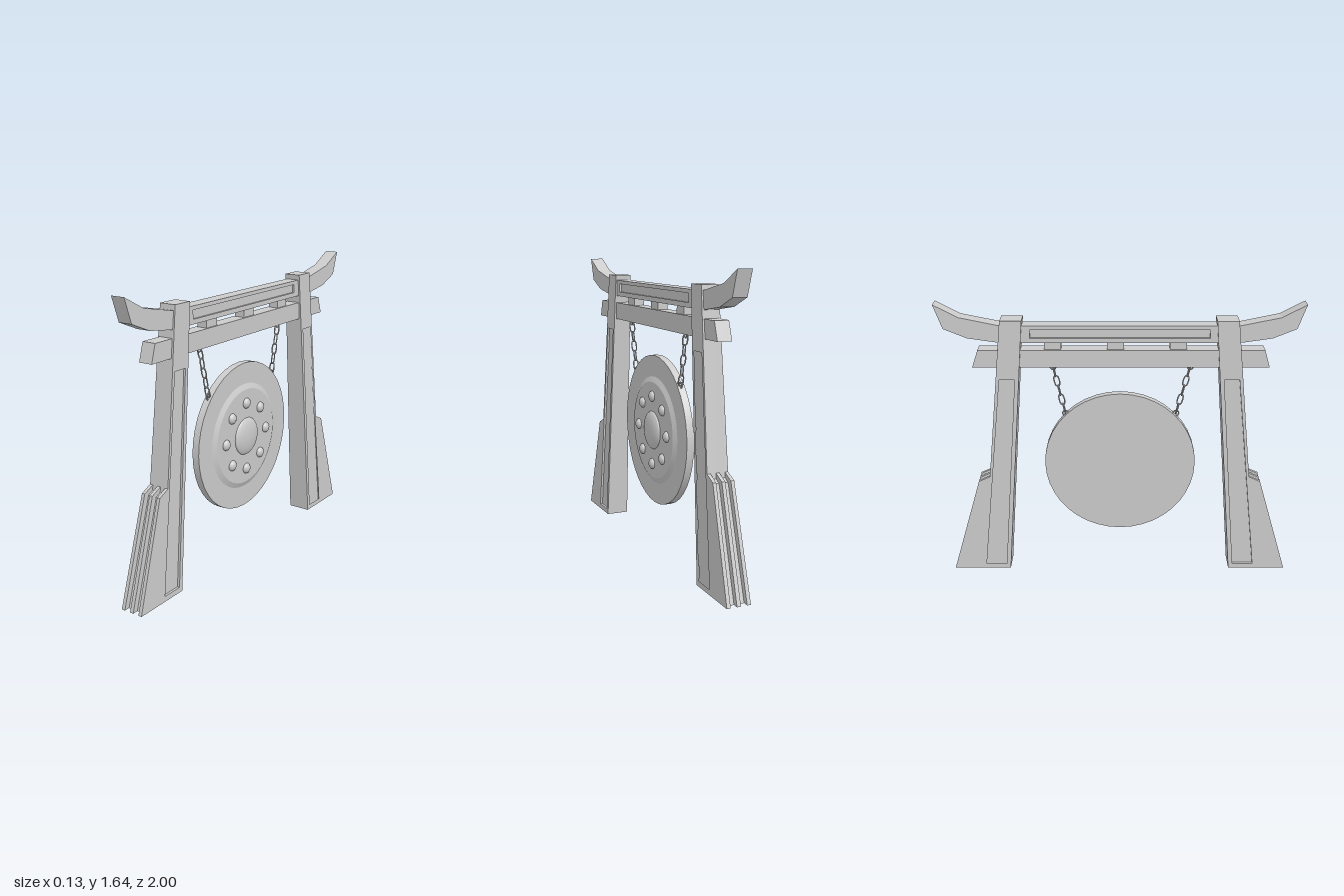
import * as THREE from 'three';
import { toCreasedNormals } from 'three/addons/utils/BufferGeometryUtils.js';

const material = new THREE.MeshStandardMaterial({ color: 0xcccccc });

function add(parent, name, geometry) {
  const mesh = new THREE.Mesh(geometry, material);
  mesh.name = name;
  parent.add(mesh);
  return mesh;
}

// Side outline of [z, y] points, extruded across x from x0 to x1
function slab(points, x0, x1, hole) {
  const toVectors = (list) => list.map(([z, y]) => new THREE.Vector2(z, y));
  const shape = new THREE.Shape(toVectors(points));
  if (hole) shape.holes.push(new THREE.Path(toVectors(hole)));
  return new THREE.ExtrudeGeometry(shape, { depth: x1 - x0, bevelEnabled: false })
    .rotateY(-Math.PI / 2).translate(x1, 0, 0);
}

// Narrow a geometry in x towards the top of the posts
const HEIGHT = 1.555;
function taper(geometry) {
  const p = geometry.attributes.position;
  for (let i = 0; i < p.count; i++) p.setX(i, p.getX(i) * (1 - 0.28 * p.getY(i) / HEIGHT));
  geometry.computeVertexNormals();
  return geometry;
}

// Solid core with a framed, sunken panel on both faces
function panelled(parent, name, outline, panel, half, depth, finish = (g) => g) {
  add(parent, name + 'Core', finish(slab(outline, -half + depth, half - depth)));
  add(parent, name + 'Frame', finish(slab(outline, half - depth, half, panel)));
  add(parent, name + 'Frame', finish(slab(outline, -half, -half + depth, panel)));
}

function createPost(s) {
  const group = new THREE.Group();
  group.name = s > 0 ? 'frontPost' : 'backPost';
  const side = (list) => list.map(([z, y]) => [s * z, y]);
  const half = 0.067;
  panelled(group, 'post',
    side([[0.66, 0], [0.82, 0], [0.643, HEIGHT], [0.525, HEIGHT]]),
    side([[0.683, 0.03], [0.804, 0.03], [0.662, 1.22], [0.577, 1.22]]), half, 0.014, taper);

  // Buttress: three fins with grooves between them
  const fin = side([[0.82, 0], [0.995, 0], [0.815, 0.59], [0.749, 0.62]]);
  const groove = side([[0.82, 0], [0.963, 0], [0.785, 0.575], [0.752, 0.592]]);
  for (const [a, b] of [[-half, -0.046], [-0.011, 0.011], [0.046, half]]) {
    add(group, 'buttressFin', taper(slab(fin, a, b)));
  }
  for (const [a, b] of [[-0.046, -0.011], [0.011, 0.046]]) {
    add(group, 'buttressGroove', taper(slab(groove, a, b)));
  }
  return group;
}

function createBeams() {
  const group = new THREE.Group();
  group.name = 'beams';
  // Top beam with upswept ends
  const top = [[0.64, 1.525], [0.865, 1.572], [0.998, 1.643]];
  const under = [[0.953, 1.509], [0.826, 1.456], [0.65, 1.43]];
  const half = [...top, ...under];
  const mirrored = half.map(([z, y]) => [-z, y]).reverse();
  panelled(group, 'topBeam', [...half, ...mirrored],
    [[-0.487, 1.456], [0.487, 1.456], [0.487, 1.504], [-0.487, 1.504]], 0.04, 0.012);

  add(group, 'lowerBeam',
    slab([[-0.81, 1.288], [0.82, 1.288], [0.79, 1.388], [-0.775, 1.388]], -0.04, 0.04));
  for (const z of [0.318, -0.025, -0.367]) {
    add(group, 'spacerBlock', new THREE.BoxGeometry(0.06, 0.05, 0.092)).position.set(0, 1.409, z);
  }
  return group;
}

function createGong() {
  const group = new THREE.Group();
  group.name = 'gong';
  group.position.y = 0.692;
  // Flat back, rim, raised plateau and central dome
  const profile = [[0, -0.024], [0.432, -0.024], [0.432, 0.018], [0.31, 0.018], [0.28, 0.032], [0.11, 0.032]];
  for (let i = 1; i <= 6; i++) {
    const a = i / 6 * Math.PI / 2;
    profile.push([i === 6 ? 0 : 0.11 * Math.cos(a), 0.032 + 0.03 * Math.sin(a)]);
  }
  const disc = new THREE.LatheGeometry(profile.map(([r, h]) => new THREE.Vector2(r, h)), 40);
  add(group, 'disc', toCreasedNormals(disc.rotateZ(-Math.PI / 2), 0.4));
  // Ring of studs
  for (let i = 0; i < 8; i++) {
    const a = i * Math.PI / 4;
    const stud = add(group, 'stud', new THREE.SphereGeometry(0.031, 16, 12));
    stud.scale.x = 0.7;
    stud.position.set(0.032, 0.198 * Math.sin(a), 0.198 * Math.cos(a));
  }
  return group;
}

// Oval chain link lying in the local yz plane
function linkGeometry() {
  const points = [];
  for (const [z, y] of [[0.013, -0.018], [0.013, 0.018], [0.008, 0.029], [-0.008, 0.029],
    [-0.013, 0.018], [-0.013, -0.018], [-0.008, -0.029], [0.008, -0.029]]) {
    points.push(new THREE.Vector3(0, y, z));
  }
  return new THREE.TubeGeometry(new THREE.CatmullRomCurve3(points, true), 24, 0.004, 6, true);
}

function createChain(from, to) {
  const group = new THREE.Group();
  group.name = 'chain';
  const span = to.clone().sub(from);
  const up = new THREE.Vector3(0, 1, 0);
  const tilt = new THREE.Quaternion().setFromUnitVectors(up, span.clone().normalize().negate());
  // Alternate links turn a quarter about the chain
  const count = 5;
  for (let i = 0; i < count; i++) {
    const link = add(group, 'chainLink', linkGeometry());
    link.position.copy(from).addScaledVector(span, (i + 0.5) / count);
    link.quaternion.copy(tilt);
    if (i % 2 === 0) link.rotateY(Math.PI / 2);
  }
  // Rings fixing the chain to beam and gong
  for (const end of [from, to]) {
    const ring = add(group, 'chainRing', new THREE.TorusGeometry(0.016, 0.004, 6, 16));
    ring.rotation.y = Math.PI / 2;
    ring.position.copy(end);
  }
  return group;
}

export function createModel() {
  const model = new THREE.Group();
  model.name = 'gongStand';
  const posts = new THREE.Group();
  posts.name = 'posts';
  posts.position.z = -0.003;
  posts.add(createPost(1), createPost(-1));
  model.add(posts, createBeams(), createGong());
  model.add(createChain(new THREE.Vector3(0, 1.278, 0.388), new THREE.Vector3(0, 0.998, 0.316)));
  model.add(createChain(new THREE.Vector3(0, 1.278, -0.37), new THREE.Vector3(0, 0.998, -0.308)));
  return model;
}
